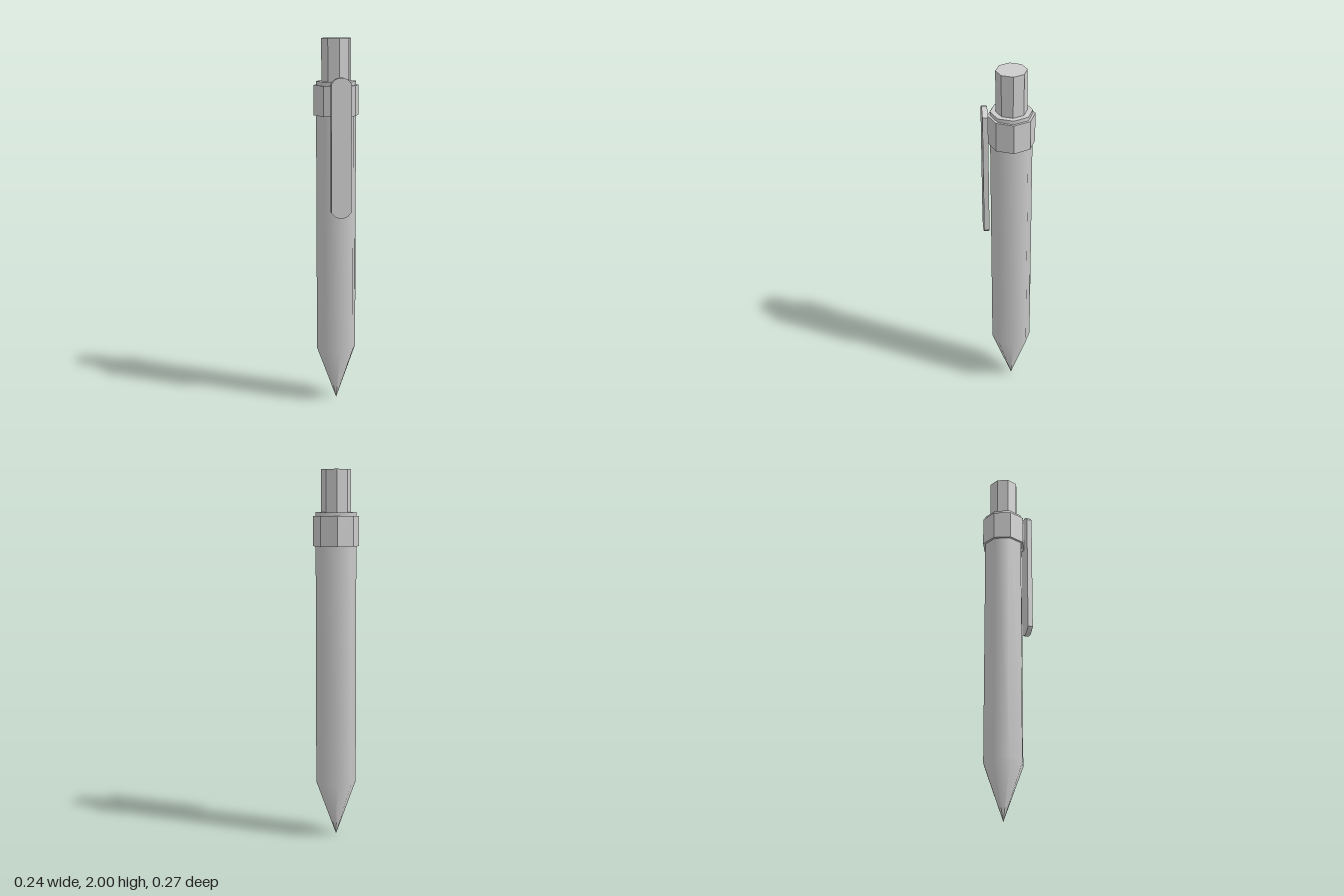
import * as THREE from 'three';

const SIDES = 8;
const AXIS_Z = -0.0145; // barrel axis sits slightly behind centre to balance the clip

export function createModel() {
  const model = new THREE.Group();
  const smooth = new THREE.MeshStandardMaterial({ color: 0xcccccc });
  const flat = new THREE.MeshStandardMaterial({ color: 0xcccccc, flatShading: true });

  function add(name, geometry, material, y, z) {
    const mesh = new THREE.Mesh(geometry, material);
    mesh.name = name;
    mesh.position.set(0, y, z);
    model.add(mesh);
  }

  // Octagonal prism standing between two heights
  function prism(name, radius, bottom, top) {
    const geometry = new THREE.CylinderGeometry(radius, radius, top - bottom, SIDES);
    add(name, geometry, flat, (bottom + top) / 2, AXIS_Z);
  }

  // Barrel with pointed tip; the doubled point keeps the top rim sharp
  const profile = [[0, 0], [0.109, 0.3], [0.109, 1.775], [0.109, 1.775], [0, 1.775]]
    .map(([r, y]) => new THREE.Vector2(r, y));
  add('barrel', new THREE.LatheGeometry(profile, SIDES), smooth, 0, AXIS_Z);

  // Collar and push button
  prism('collar', 0.122, 1.595, 1.755);
  prism('pushButton', 0.08, 1.77, 2);

  // Flat pocket clip with faceted rounded ends
  const half = 0.054, offset = -0.0025;
  const ends = [[-1, 0.03], [-0.62, 0.008], [-0.25, 0], [0.25, 0], [0.62, 0.008], [1, 0.03]];
  const outline = [
    ...ends.map(([x, y]) => new THREE.Vector2(x * half + offset, 1.06 + y)),
    ...ends.map(([x, y]) => new THREE.Vector2(-x * half + offset, 1.8 - y)),
  ];
  const clip = new THREE.ExtrudeGeometry(new THREE.Shape(outline), { depth: 0.028, bevelEnabled: false });
  add('pocketClip', clip, flat, 0, 0.108);

  return model;
}
